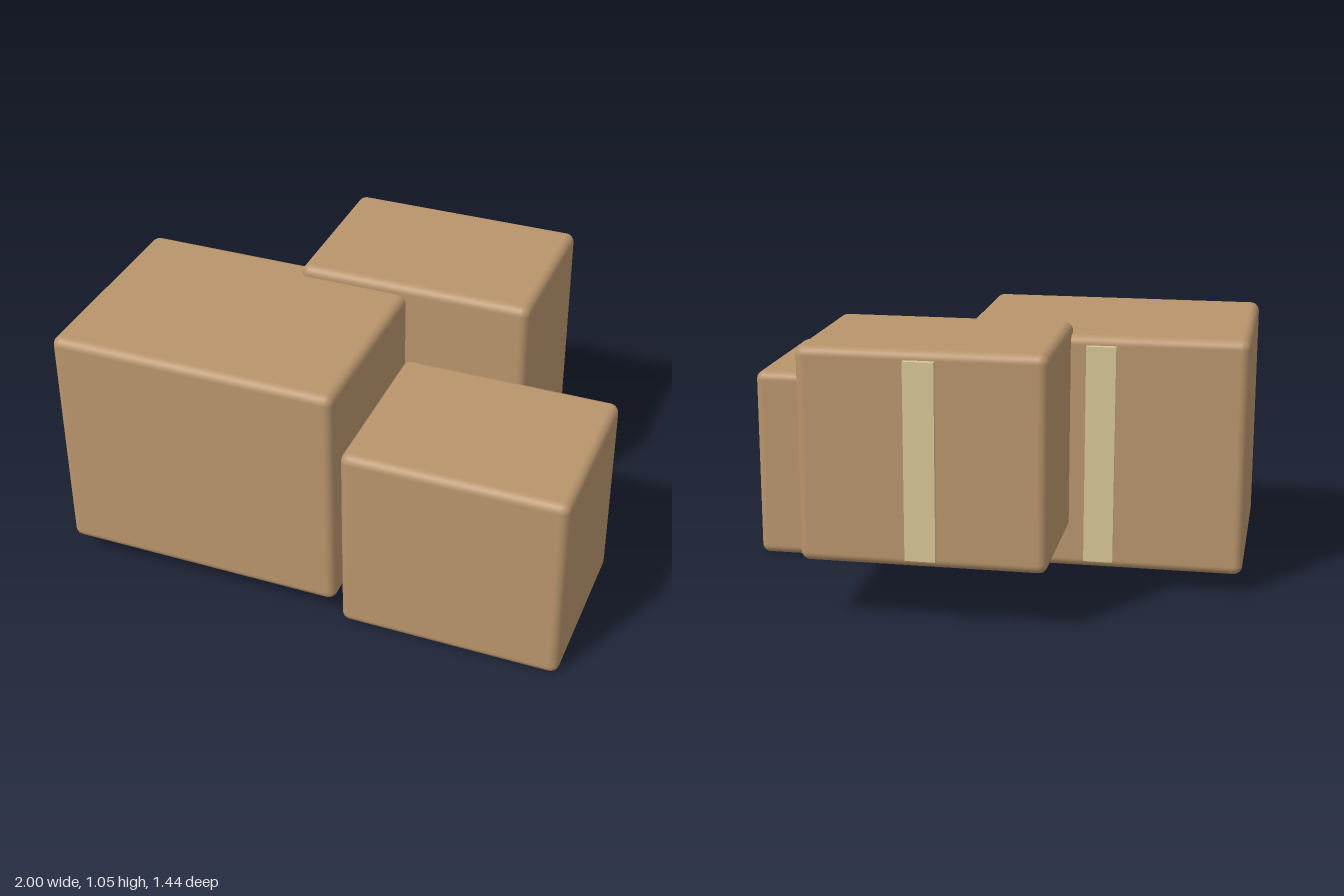
import * as THREE from 'three';
import { RoundedBoxGeometry } from 'three/addons/geometries/RoundedBoxGeometry.js';

const cardboard = new THREE.MeshStandardMaterial({ color: 0xb8946c });
const tapeMaterial = new THREE.MeshStandardMaterial({ color: 0xd6c797 });

const EDGE = 0.035;        // rounding of the carton edges
const TAPE_WIDTH = 0.115;
const TAPE_DEPTH = 0.05;   // half of it is sunk into the carton

// One carton with a vertical tape strip centred on its back face
function carton(name, [x0, x1], [y0, y1], [z0, z1]) {
  const group = new THREE.Group();
  group.name = name;
  const w = x1 - x0, h = y1 - y0, d = z1 - z0;
  group.position.set((x0 + x1) / 2, (y0 + y1) / 2, (z0 + z1) / 2);

  const box = new THREE.Mesh(new RoundedBoxGeometry(w, h, d, 4, EDGE), cardboard);
  box.name = 'cardboardBox';

  const tape = new THREE.Mesh(
    new THREE.BoxGeometry(TAPE_WIDTH, h - 2 * EDGE, TAPE_DEPTH), tapeMaterial);
  tape.name = 'tapeStrip';
  tape.position.z = -d / 2;

  group.add(box, tape);
  return group;
}

export function createModel() {
  const model = new THREE.Group();
  model.name = 'cartonStack';
  model.add(
    carton('largeCarton', [-1, 0.12], [0.08, 1.01], [-0.135, 0.72]),
    carton('rearCarton', [-0.32, 0.608], [0.235, 1.05], [-0.695, -0.038]),
    carton('smallCarton', [0.145, 1], [0, 0.778], [0.023, 0.72]),
  );
  return model;
}
